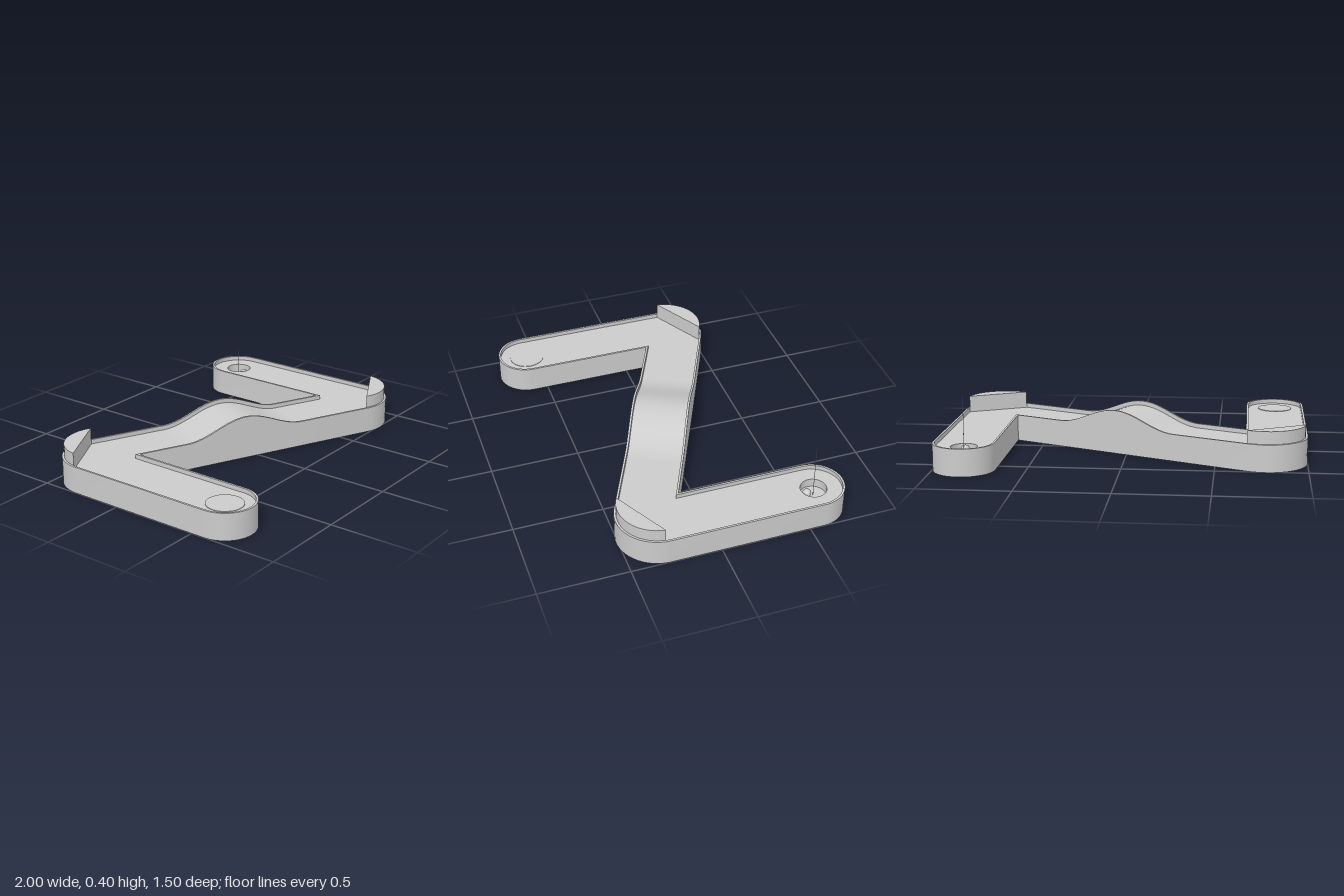
import * as THREE from 'three';
import { toCreasedNormals } from 'three/addons/utils/BufferGeometryUtils.js';

const WALL = 0.012, WALL_TOP = 0.15, FLOOR = 0.125, HUMP_H = 0.095, HUMP_L = 0.365;
const CAP = { x: -0.832, y: -0.582, r: 0.168 };     // round end of a leg (plan y = -z)
const BEND = { x: -0.772, y: 0.283, r: 0.228 };     // rounded outer corner
const SLANT = 24.7 * Math.PI / 180;
const along = new THREE.Vector2(Math.cos(SLANT), -Math.sin(SLANT));
const across = new THREE.Vector2(Math.sin(SLANT), Math.cos(SLANT));
const HALF = BEND.x * across.x + BEND.y * across.y + BEND.r; // half width of the slanted lane

const hump = u => Math.abs(u) < HUMP_L ? HUMP_H * (1 + Math.cos(Math.PI * u / HUMP_L)) / 2 : 0;
const lanePoint = (u, v) => along.clone().multiplyScalar(u).addScaledVector(across, v);

function arc({ x, y, r }, inset, from, to, n) {
  return Array.from({ length: n + 1 }, (_, i) => {
    const a = from + (to - from) * i / n;
    return new THREE.Vector2(x + Math.cos(a) * (r - inset), y + Math.sin(a) * (r - inset));
  });
}

// Left leg: inside corner, round end, outside bend
function legPoints(inset) {
  const x = CAP.x + CAP.r - inset;
  const corner = new THREE.Vector2(x, (-(HALF - inset) - across.x * x) / across.y);
  return [corner, ...arc(CAP, inset, 0, -Math.PI, 24),
    ...arc(BEND, inset, Math.PI, Math.PI / 2 - SLANT, 16)];
}

// Whole Z-shaped outline: half of it, then the same half turned by 180 degrees
function outline(inset) {
  const half = legPoints(inset);
  for (let i = 0; i <= 32; i++) half.push(lanePoint(HUMP_L * (i / 16 - 1), HALF - inset));
  return [...half, ...half.map(p => p.clone().negate())];
}

// Border wall: outer side, top edge (lifted over the hump) and inner side, swept round the outline
function wallGeometry() {
  const outer = outline(0), inner = outline(WALL), positions = [], index = [];
  outer.forEach((p, i) => {
    const inLane = Math.abs(p.dot(across)) < HALF + 0.01;
    const q = inner[i], top = WALL_TOP + (inLane ? hump(p.dot(along)) : 0);
    positions.push(p.x, 0, -p.y, p.x, top, -p.y, q.x, top, -q.y, q.x, FLOOR, -q.y);
    const a = i * 4, b = ((i + 1) % outer.length) * 4;
    for (let j = 0; j < 3; j++) index.push(a + j, a + j + 1, b + j, b + j, a + j + 1, b + j + 1);
  });
  const geometry = new THREE.BufferGeometry();
  geometry.setAttribute('position', new THREE.Float32BufferAttribute(positions, 3));
  geometry.setIndex(index);
  return toCreasedNormals(geometry, 0.5);
}

export function createModel() {
  const group = new THREE.Group();
  const grey = new THREE.MeshStandardMaterial({ color: 0xcccccc });
  const greyDouble = new THREE.MeshStandardMaterial({ color: 0xcccccc, side: THREE.DoubleSide });
  const add = (name, geometry, material = grey, x = 0, y = 0, z = 0) => {
    const mesh = new THREE.Mesh(geometry, material);
    mesh.name = name;
    mesh.position.set(x, y, z);
    group.add(mesh);
    return mesh;
  };
  const flat = shape => new THREE.ShapeGeometry(shape, 32).rotateX(-Math.PI / 2);

  add('borderWall', wallGeometry(), greyDouble);
  add('underside', flat(new THREE.Shape(outline(0))), greyDouble);

  // Flat floors of the two legs, the right one with the cup opening
  const v = HALF - WALL;
  const floorPoints = [...legPoints(WALL), lanePoint(-HUMP_L, v), lanePoint(-HUMP_L, -v)];
  add('startFloor', flat(new THREE.Shape(floorPoints)), greyDouble, 0, FLOOR, 0);
  const cupX = -CAP.x, cupZ = CAP.y, cupR = 0.072, cupBottom = 0.075;
  const endShape = new THREE.Shape(floorPoints.map(p => p.clone().negate()));
  endShape.holes.push(new THREE.Path().absarc(cupX, -cupZ, cupR, 0, Math.PI * 2, true));
  add('endFloor', flat(endShape), greyDouble, 0, FLOOR, 0);

  // Humped floor in the middle of the slanted lane
  const strip = new THREE.PlaneGeometry(2 * HUMP_L, 2 * v, 32, 1).rotateX(-Math.PI / 2);
  const sp = strip.attributes.position;
  for (let i = 0; i < sp.count; i++) sp.setY(i, FLOOR + hump(sp.getX(i)));
  strip.computeVertexNormals();
  add('humpFloor', strip, greyDouble).rotation.y = -SLANT;

  // Bank blocks filling the two outer bends
  const bankShape = new THREE.Shape(arc(BEND, WALL, Math.PI * 0.965, Math.PI * 0.345, 16));
  for (const [name, turn] of [['startBank', 0], ['endBank', Math.PI]]) {
    const bank = new THREE.ExtrudeGeometry(bankShape,
      { depth: 0.22 - FLOOR, bevelEnabled: false }).rotateX(-Math.PI / 2);
    add(name, toCreasedNormals(bank, 0.5), grey, 0, FLOOR, 0).rotation.y = turn;
  }

  // Tee mark, cup, flag pole and ball
  add('teeMark', new THREE.CylinderGeometry(0.1, 0.1, 0.003, 32), grey, CAP.x, FLOOR + 0.0015, -CAP.y);
  const depth = FLOOR - cupBottom;
  add('cupWall', new THREE.CylinderGeometry(cupR, cupR, depth, 32, 1, true), greyDouble,
    cupX, cupBottom + depth / 2, cupZ);
  add('cupBottom', new THREE.CircleGeometry(cupR, 32).rotateX(-Math.PI / 2), greyDouble, cupX, cupBottom, cupZ);
  add('pole', new THREE.CylinderGeometry(0.0015, 0.0015, 0.4 - cupBottom, 8), grey,
    cupX, (0.4 + cupBottom) / 2, cupZ);
  add('ball', new THREE.SphereGeometry(0.024, 24, 16), grey, cupX, cupBottom + 0.026, cupZ + 0.038);

  return group;
}
